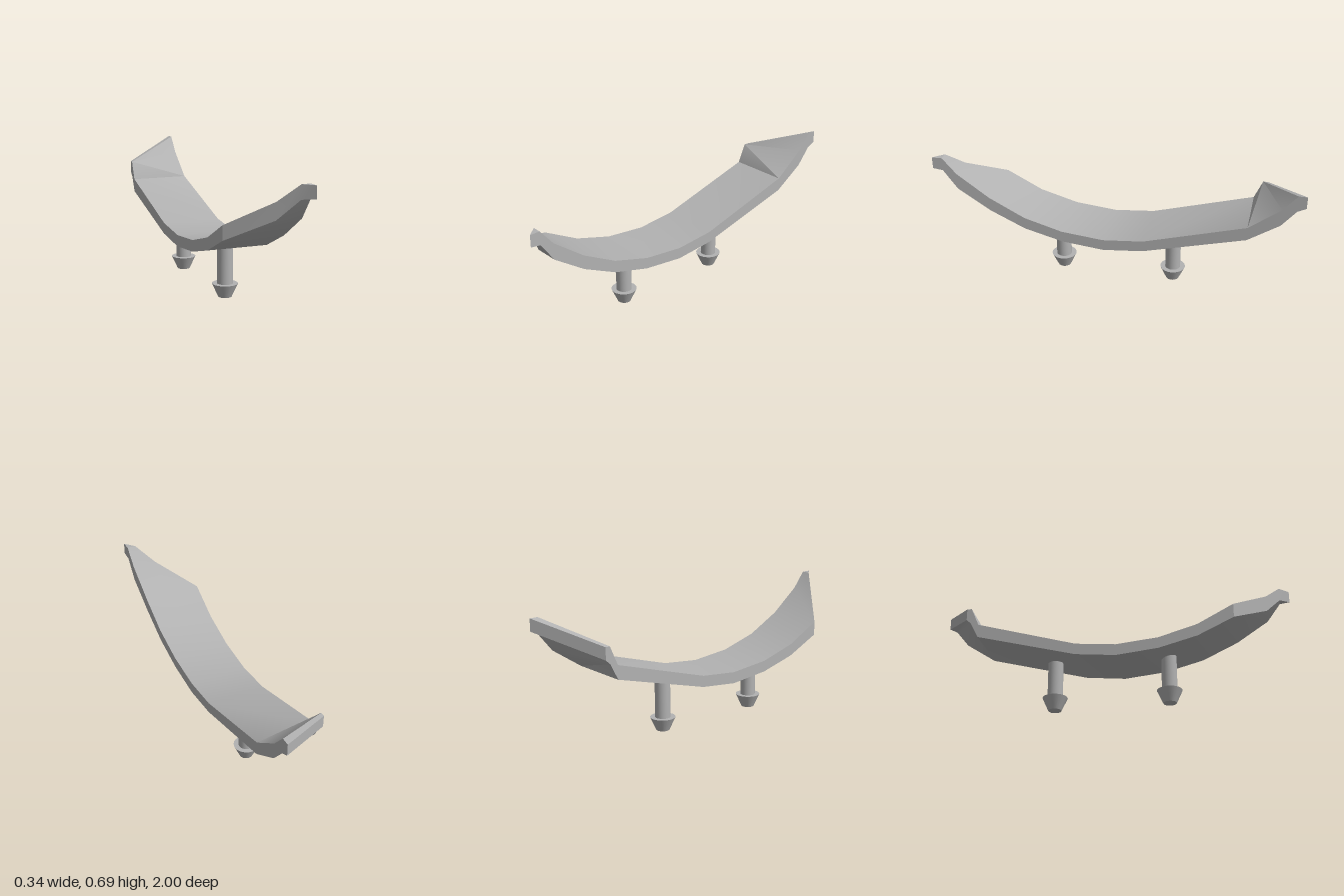
import * as THREE from 'three';
import { toCreasedNormals } from 'three/addons/utils/BufferGeometryUtils.js';

const LEFT = -0.17, RIGHT = 0.157;

// Each section: [x, z, top, bottom] of the -x edge, then of the +x edge
const both = (z, top, bottom) => [[LEFT, z, top, bottom], [RIGHT, z, top, bottom]];
const taper = (xa, xb, z, top, bottom) => [[xa, z, top, bottom], [xb, z, top, bottom]];

const sections = [
  // raised back rim, cut diagonally
  [[LEFT, -0.783, 0.577, 0.51], [RIGHT, -1, 0.695, 0.628]],
  [[LEFT, -0.757, 0.577, 0.487], [RIGHT, -0.955, 0.695, 0.605]],
  [[LEFT, -0.757, 0.577, 0.487], [RIGHT, -0.88, 0.605, 0.512]],
  // curved band
  both(-0.713, 0.475, 0.4),
  both(-0.16, 0.312, 0.25),
  both(0.06, 0.29, 0.227),
  both(0.29, 0.312, 0.25),
  both(0.5, 0.372, 0.305),
  both(0.695, 0.474, 0.397),
  // front end, tapering to a point
  taper(0.027, 0.163, 0.87, 0.605, 0.516),
  taper(0.118, 0.166, 0.945, 0.695, 0.622),
  taper(0.168, 0.168, 1, 0.695, 0.63),
];

function bandGeometry() {
  const pos = [];
  const tri = (...corners) => corners.forEach((c) => pos.push(...c));
  const rings = sections.map(([l, r]) => [
    [l[0], l[2], l[1]], [r[0], r[2], r[1]], [r[0], r[3], r[1]], [l[0], l[3], l[1]],
  ]);
  for (let i = 0; i < rings.length - 1; i++) {
    const a = rings[i], b = rings[i + 1];
    for (let k = 0; k < 4; k++) {
      const n = (k + 1) % 4;
      if (k === 2) { // underside folds along the same diagonal as the top
        tri(a[k], b[k], a[n]);
        tri(b[k], b[n], a[n]);
      } else {
        tri(a[k], b[k], b[n]);
        tri(a[k], b[n], a[n]);
      }
    }
  }
  // back end wall
  const e = rings[0];
  tri(e[0], e[1], e[2]);
  tri(e[0], e[2], e[3]);
  const g = new THREE.BufferGeometry();
  g.setAttribute('position', new THREE.Float32BufferAttribute(pos, 3));
  return toCreasedNormals(g, 0.42);
}

export function createModel() {
  const model = new THREE.Group();
  model.name = 'curvedHandle';
  const grey = new THREE.MeshStandardMaterial({ color: 0xb2b2b2 });
  grey.name = 'grey';

  const band = new THREE.Mesh(bandGeometry(), grey);
  band.name = 'band';
  model.add(band);

  // Two snap-in pegs under the band
  const shaftGeo = new THREE.CylinderGeometry(0.042, 0.042, 0.21, 24);
  const headGeo = new THREE.CylinderGeometry(0.069, 0.036, 0.073, 24);
  [['frontPeg', 0.325], ['backPeg', -0.305]].forEach(([name, z]) => {
    const peg = new THREE.Group();
    peg.name = name;
    const shaft = new THREE.Mesh(shaftGeo, grey);
    shaft.name = 'shaft';
    shaft.position.y = 0.173;
    const head = new THREE.Mesh(headGeo, grey);
    head.name = 'head';
    head.position.y = 0.0365;
    peg.add(shaft, head);
    peg.position.z = z;
    model.add(peg);
  });
  return model;
}
